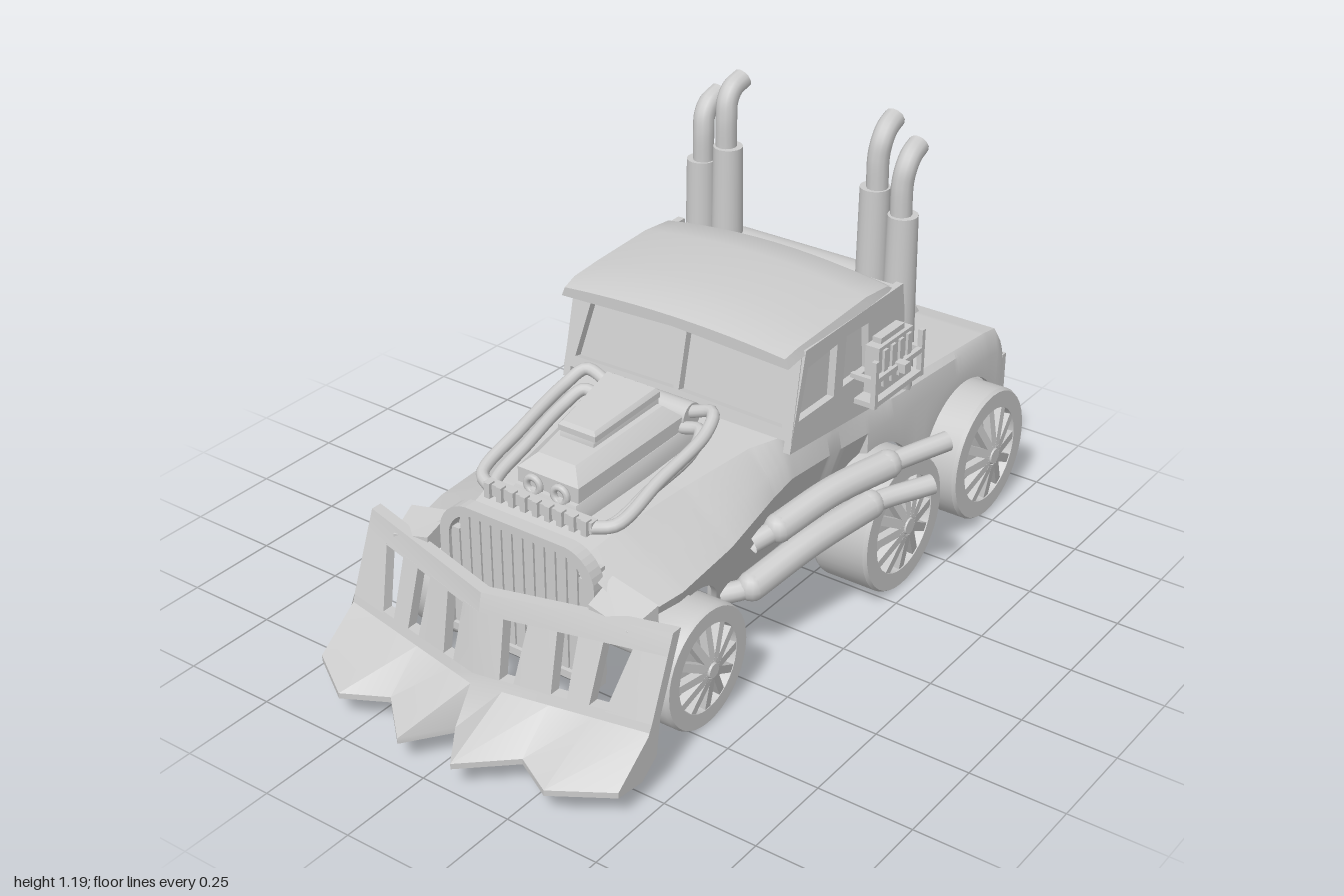
import * as THREE from 'three';
import { toCreasedNormals } from 'three/addons/utils/BufferGeometryUtils.js';

const mat = new THREE.MeshStandardMaterial({ color: 0xcccccc, side: THREE.DoubleSide });
const V = (p) => new THREE.Vector3(...p);
const { lerp } = THREE.MathUtils;

export function createModel() {
  const root = new THREE.Group();
  const add = (name, geo, pos = [0, 0, 0], rot = [0, 0, 0], parent = root) => {
    const m = new THREE.Mesh(geo, mat);
    m.name = name;
    m.position.set(...pos);
    m.rotation.set(...rot);
    parent.add(m);
    return m;
  };
  const box = (name, size, pos, rot, parent) => add(name, new THREE.BoxGeometry(...size), pos, rot, parent);
  const tube = (name, pts, r, seg = 24) =>
    add(name, new THREE.TubeGeometry(new THREE.CatmullRomCurve3(pts.map(V)), seg, r, 12));
  // Skin closed rings of equal point count, with capped ends
  const loft = (rings, caps = true) => {
    const pos = [], idx = [], n = rings[0].length;
    rings.forEach((r) => r.forEach((p) => pos.push(...p)));
    for (let i = 0; i < rings.length - 1; i++) for (let j = 0; j < n; j++) {
      const a = i * n + j, b = i * n + (j + 1) % n;
      idx.push(a, b, a + n, b, b + n, a + n);
    }
    if (caps) [0, rings.length - 1].forEach((i) => {
      const c = pos.length / 3;
      const mid = rings[i].reduce((s, p) => s.add(V(p)), new THREE.Vector3()).divideScalar(n);
      pos.push(mid.x, mid.y, mid.z);
      for (let j = 0; j < n; j++) {
        const a = i * n + j, b = i * n + (j + 1) % n;
        i ? idx.push(a, b, c) : idx.push(b, a, c);
      }
    });
    const g = new THREE.BufferGeometry();
    g.setAttribute('position', new THREE.Float32BufferAttribute(pos, 3));
    g.setIndex(idx);
    return toCreasedNormals(g, 0.5);
  };
  const shape = (pts) => new THREE.Shape(pts.map((p) => new THREE.Vector2(...p)));
  const plate = (pts, holes, depth) => {
    const s = shape(pts);
    holes.forEach((h) => s.holes.push(shape(h)));
    return new THREE.ExtrudeGeometry(s, { depth, bevelEnabled: false });
  };

  // Body shell: z, top y, top half width, shoulder x, shoulder y, side x
  const stations = [
    [0.64, 0.47, 0.17, 0.24, 0.43, 0.34], [0.5, 0.5, 0.19, 0.27, 0.44, 0.365],
    [0.3, 0.52, 0.22, 0.3, 0.455, 0.36], [0.1, 0.55, 0.27, 0.325, 0.49, 0.345],
    [0.03, 0.56, 0.31, 0.335, 0.51, 0.35], [-0.15, 0.56, 0.33, 0.345, 0.5, 0.355],
    [-0.46, 0.49, 0.33, 0.35, 0.475, 0.365], [-0.9, 0.47, 0.35, 0.36, 0.455, 0.37],
    [-0.96, 0.46, 0.35, 0.36, 0.445, 0.37], [-0.985, 0.42, 0.35, 0.36, 0.41, 0.37],
    [-1, 0.37, 0.35, 0.36, 0.365, 0.37]];
  const arches = [[0.45, 0.17, 0.178], [-0.33, 0.19, 0.192], [-0.77, 0.19, 0.192]];
  const bottomY = (z) => {
    let y = z > 0.45 ? 0.36 : z > -0.14 ? lerp(0.24, 0.16, (z + 0.14) / 0.42) : z > -0.65 ? 0.18 : 0.21;
    for (const [c, cy, r] of arches)
      if (Math.abs(z - c) < r) y = Math.max(y, cy + Math.sqrt(r * r - (z - c) ** 2));
    return y;
  };
  const rings = [];
  for (let i = 0; i <= 164; i++) {
    const z = 0.64 - i * 0.01;
    const k = Math.max(1, stations.findIndex((s) => s[0] <= z + 1e-6));
    const a = stations[k - 1], b = stations[k], t = (z - a[0]) / (b[0] - a[0]);
    const [, top, tw, sx, sy, w] = a.map((v, j) => lerp(v, b[j], t));
    const bot = bottomY(z), mid = Math.max(sy - 0.05, bot);
    const low = z > -0.3 ? w - 0.3 * (mid - bot) : w;
    const half = [[tw, top], [sx, sy], [w, mid], [low, bot], [low - 0.015, bot], [sx - 0.02, sy - 0.02], [tw - 0.01, top - 0.02]];
    rings.push([...half, ...half.slice().reverse().map(([x, y]) => [-x, y])].map(([x, y]) => [x, y, z]));
  }
  add('body', loft(rings, false));
  box('rearPanel', [0.74, 0.17, 0.02], [0, 0.29, -0.99]);
  box('frontBulkhead', [0.44, 0.3, 0.02], [0, 0.31, 0.612]);

  // Cab
  add('cabCore', loft([[0.5, 0.02, 0.33], [0.78, -0.045, 0.32]].map(([y, f, w]) =>
    [[-w, y, f], [w, y, f], [w, y, -0.46], [-w, y, -0.46]])));
  const sideWall = plate([[0.04, 0.53], [-0.02, 0.785], [-0.46, 0.79], [-0.475, 0.7], [-0.47, 0.48]], [
    [[0.005, 0.605], [-0.03, 0.735], [-0.16, 0.745], [-0.15, 0.605]],
    [[-0.19, 0.615], [-0.2, 0.75], [-0.3, 0.745], [-0.31, 0.615]]], 0.02);
  for (const x of [0.347, -0.327]) add('cabSide', sideWall, [x, 0, 0], [0, -Math.PI / 2, 0]);
  add('windscreenFrame', plate([[-0.347, 0], [0.347, 0], [0.338, 0.235], [-0.338, 0.235]], [
    [[0.008, 0.035], [0.315, 0.03], [0.285, 0.195], [0.008, 0.21]],
    [[-0.008, 0.035], [-0.315, 0.03], [-0.285, 0.195], [-0.008, 0.21]]], 0.022), [0, 0.555, 0.014], [-0.23, 0, 0]);
  add('roof', loft([[0.045, 0.785, 0.802, 0.34], [0, 0.797, 0.82, 0.345], [-0.1, 0.803, 0.832, 0.347],
    [-0.3, 0.812, 0.843, 0.347], [-0.4, 0.803, 0.832, 0.347], [-0.45, 0.775, 0.8, 0.347],
    [-0.475, 0.72, 0.74, 0.345]].map(([z, edge, crown, w]) => {
    const r = [[w, edge - 0.025, z]];
    for (let i = 0; i <= 12; i++) {
      const u = 1 - i / 6;
      r.push([u * w * 0.97, lerp(crown, edge, u * u), z]);
    }
    return [...r, [-w, edge - 0.025, z], [0, edge - 0.01, z]];
  })));

  // Grille
  const arch = (w, top, r, low) => {
    const p = [[-w, low]];
    for (let i = 0; i <= 17; i++) {
      const a = Math.PI - i * Math.PI / 17;
      p.push([Math.sign(Math.cos(a)) * (w - r) + r * Math.cos(a), top - r + r * Math.sin(a)]);
    }
    return [...p, [w, low]];
  };
  add('grilleFrame', plate(arch(0.23, 0.51, 0.09, 0.15), [arch(0.203, 0.488, 0.075, 0.17)], 0.038), [0, 0, 0.618]);
  for (let i = -6; i <= 6; i++) {
    const h = Math.abs(i) === 6 ? 0.27 : 0.315;
    box('grilleBar', [0.027, h, 0.02], [i * 0.032, 0.165 + h / 2, 0.636]);
  }

  // Plough: raked V with slots and a toothed blade
  const plowZ = (x, y) => {
    const u = Math.abs(x) / 0.45;
    return 0.78 - 0.125 * u + (0.395 - y) * (0.22 + 0.18 * u);
  };
  add('ploughTopRail', loft([-0.45, 0, 0.45].map((x) => [[0.345, 0], [0.397, 0], [0.397, -0.03], [0.345, -0.03]]
    .map(([y, d]) => [x, y, plowZ(x, y) + d]))));
  const bar = (b0, b1, t0, t1) => loft([[0.195, b0, b1], [0.35, t0, t1]].map(([y, a, b]) =>
    [[a, 0], [(a + b) / 2, 0], [b, 0], [b, -0.03], [(a + b) / 2, -0.03], [a, -0.03]]
      .map(([x, d]) => [x, y, plowZ(x, y) + d])));
  add('ploughBar', bar(-0.07, 0.07, -0.06, 0.06));
  for (const s of [1, -1])
    for (const b of [[0.105, 0.2, 0.12, 0.19], [0.24, 0.295, 0.24, 0.3], [0.335, 0.45, 0.37, 0.45]])
      add('ploughBar', bar(...b.map((x) => s * x)));
  const teeth = [[0, 0.89], [0.08, 1], [0.2, 0.89], [0.31, 0.95], [0.45, 0.86]];
  add('ploughBlade', loft([...teeth.slice(1).reverse().map(([x, z]) => [-x, z]), ...teeth].map(([x, tip]) => {
    const z = plowZ(x, 0.2);
    return [[0.2, z], [0.175, z + 0.008], [0.085, tip], [0.07, tip], [0.06, z + 0.04], [0.1, z - 0.015], [0.2, z - 0.03]]
      .map(([y, zz]) => [x, y, zz]);
  })));

  // Wheels and axles
  const wheel = (r, w) => {
    const g = new THREE.Group(), rim = r * 0.72, h = w / 2;
    g.name = 'wheel';
    const profile = [[0, -h], [r * 0.97, -h], [r, -h + 0.01], [r, h - 0.01], [r * 0.97, h], [rim, h],
      [rim * 0.97, h - 0.025], [0, h - 0.015]].map((p) => new THREE.Vector2(...p));
    add('tyre', toCreasedNormals(new THREE.LatheGeometry(profile, 36), 0.5), [0, 0, 0], [0, 0, 0], g);
    for (let i = 0; i < 12; i++) {
      const a = i * Math.PI / 6;
      box('spoke', [rim * 0.82, 0.022, rim * 0.18], [Math.cos(a) * rim * 0.58, h - 0.005, -Math.sin(a) * rim * 0.58],
        [0, a, -0.16], g);
    }
    add('hub', new THREE.CylinderGeometry(rim * 0.16, rim * 0.26, 0.035, 16), [0, h, 0], [0, 0, 0], g);
    return g;
  };
  for (const [z, r, w, x] of [[0.45, 0.16, 0.11, 0.347], [-0.33, 0.185, 0.165, 0.378], [-0.77, 0.185, 0.165, 0.378]]) {
    for (const s of [1, -1]) {
      const g = wheel(r, w);
      g.position.set(s * x, r + 0.006, z);
      g.rotation.z = -s * Math.PI / 2;
      root.add(g);
    }
    add('axle', new THREE.CylinderGeometry(0.038, 0.038, x * 2 - w, 16), [0, r + 0.006, z], [0, 0, Math.PI / 2]);
  }

  // Engine through the hood
  const deck = (z0, w0, y0, z1, w1, y1, h, inset) => loft([[0, 0], [h * 0.6, 0], [h, inset]].map(([dy, i]) =>
    [[-w0 + i, y0 + dy, z0 + i], [w0 - i, y0 + dy, z0 + i], [w1 - i, y1 + dy, z1 - i], [-w1 + i, y1 + dy, z1 - i]]));
  add('engineBlock', deck(0.12, 0.14, 0.53, 0.55, 0.1, 0.48, 0.06, 0.01));
  add('blower', deck(0.17, 0.125, 0.57, 0.53, 0.09, 0.53, 0.085, 0.035));
  add('scoop', deck(0.2, 0.075, 0.64, 0.42, 0.05, 0.605, 0.05, 0.01));
  add('scoopLid', deck(0.2, 0.08, 0.673, 0.42, 0.055, 0.64, 0.025, 0.008));
  add('manifold', new THREE.CylinderGeometry(0.035, 0.035, 0.26, 20), [0, 0.61, 0.14], [0, 0, Math.PI / 2]);
  box('frontRail', [0.32, 0.03, 0.025], [0, 0.52, 0.56]);
  for (let i = -4; i <= 4; i++) box('railBolt', [0.016, 0.04, 0.02], [i * 0.036, 0.52, 0.572]);

  for (const s of [1, -1]) {
    add('intake', new THREE.TorusGeometry(0.02, 0.009, 8, 16), [s * 0.04, 0.55, 0.535]);
    tube('enginePipe', [[s * 0.12, 0.62, 0.14], [s * 0.19, 0.64, 0.14], [s * 0.212, 0.615, 0.2], [s * 0.208, 0.57, 0.38],
      [s * 0.2, 0.525, 0.53], [s * 0.15, 0.515, 0.56]], 0.016, 40);
    tube('enginePipe', [[s * 0.12, 0.59, 0.17], [s * 0.175, 0.6, 0.17], [s * 0.195, 0.575, 0.23], [s * 0.185, 0.54, 0.38],
      [s * 0.17, 0.505, 0.52], [s * 0.12, 0.5, 0.55]], 0.016, 40);
    // Fender noses reaching the plough
    add('fenderNose', loft([[0.6, 0.37, 0.36, 0.44], [0.69, 0.35, 0.36, 0.41]].map(([z, w, lo, hi]) =>
      [[s * 0.24, lo, z], [s * w, lo, z], [s * w, hi - 0.03, z], [s * 0.24, hi, z]])));
    // Upright stacks: muffler x, pipe x, muffler top and bottom
    for (const [x, px, top, low] of [[0.224, 0.23, 1.005, 0.5], [0.308, 0.302, 0.95, 0.46]]) {
      add('stackMuffler', new THREE.CylinderGeometry(0.039, 0.045, top - low, 20), [s * x, (top + low) / 2, -0.51]);
      add('stackFoot', new THREE.CylinderGeometry(0.045, 0.03, 0.04, 20), [s * x, low - 0.02, -0.51]);
      tube('stackPipe', [[s * px, top - 0.01, -0.51], [s * px, top + 0.08, -0.51], [s * (px + 0.003), top + 0.12, -0.518],
        [s * (px + 0.003), top + 0.148, -0.54], [s * px, top + 0.163, -0.58]], 0.028);
    }
    // Side exhausts: entry, muffler start, middle and end, tip
    for (const [a, b, m, c, d] of [
      [[0.32, 0.33, 0.16], [0.352, 0.352, 0.09], [0.4, 0.393, -0.07], [0.46, 0.415, -0.23], [0.543, 0.441, -0.38]],
      [[0.29, 0.22, 0.25], [0.345, 0.235, 0.19], [0.395, 0.288, 0.01], [0.45, 0.325, -0.17], [0.543, 0.347, -0.315]]]) {
      const P = (p) => [s * p[0], p[1], p[2]];
      tube('exhaustMuffler', [b, m, c].map(P), 0.038, 16);
      for (const e of [b, c]) add('mufflerEnd', new THREE.SphereGeometry(0.038, 14, 8), P(e));
      tube('exhaustPipe', [a, b, m, c, d].map(P), 0.026, 40);
    }
  }

  // Tank behind the cab, its support, bed plate and filler
  add('tank', new THREE.CylinderGeometry(0.085, 0.085, 0.42, 32), [0, 0.68, -0.535], [0, 0, Math.PI / 2]);
  add('tankSupport', loft([[0.46, -0.64, 0.09], [0.64, -0.59, 0.085]].map(([y, z, w]) =>
    [[-w, y, z], [w, y, z], [w, y, -0.48], [-w, y, -0.48]])));
  add('bedPlate', loft([[0.46, 0], [0.487, 0.01]].map(([y, i]) =>
    [[-0.12 + i, y, -0.6], [0.12 - i, y, -0.6], [0.15 - i, y, -0.84], [0.14 - i, y, -0.92 + i],
      [-0.14 + i, y, -0.92 + i], [-0.15 + i, y, -0.84]])));
  add('fillerNeck', new THREE.CylinderGeometry(0.055, 0.055, 0.07, 24), [0, 0.497, -0.885]).scale.x = 1.25;
  add('fillerRim', new THREE.TorusGeometry(0.05, 0.008, 8, 24), [0, 0.53, -0.885], [Math.PI / 2, 0, 0]).scale.x = 1.25;
  box('fillerHandle', [0.014, 0.015, 0.1], [0, 0.533, -0.885]);

  // Fuel can in a rack on the left side
  box('fuelCan', [0.04, 0.13, 0.16], [0.373, 0.63, -0.36]);
  for (let i = 0; i < 4; i++) box('canRib', [0.02, 0.1, 0.018], [0.39, 0.635, -0.305 - i * 0.037]);
  box('canHandle', [0.025, 0.02, 0.11], [0.37, 0.7, -0.36]);
  for (const y of [0.555, 0.62]) box('rackRail', [0.014, 0.014, 0.23], [0.402, y, -0.36]);
  for (const z of [-0.25, -0.47]) {
    box('rackPost', [0.014, 0.13, 0.014], [0.402, 0.61, z]);
    box('rackArm', [0.07, 0.014, 0.014], [0.37, 0.62, z]);
  }
  box('rackShelf', [0.06, 0.014, 0.23], [0.375, 0.552, -0.36]);
  box('rackLatch', [0.03, 0.025, 0.025], [0.414, 0.62, -0.36]);

  // The body sits slightly off the centre line
  root.children.forEach((m) => { m.position.x += 0.006; });
  return root;
}
